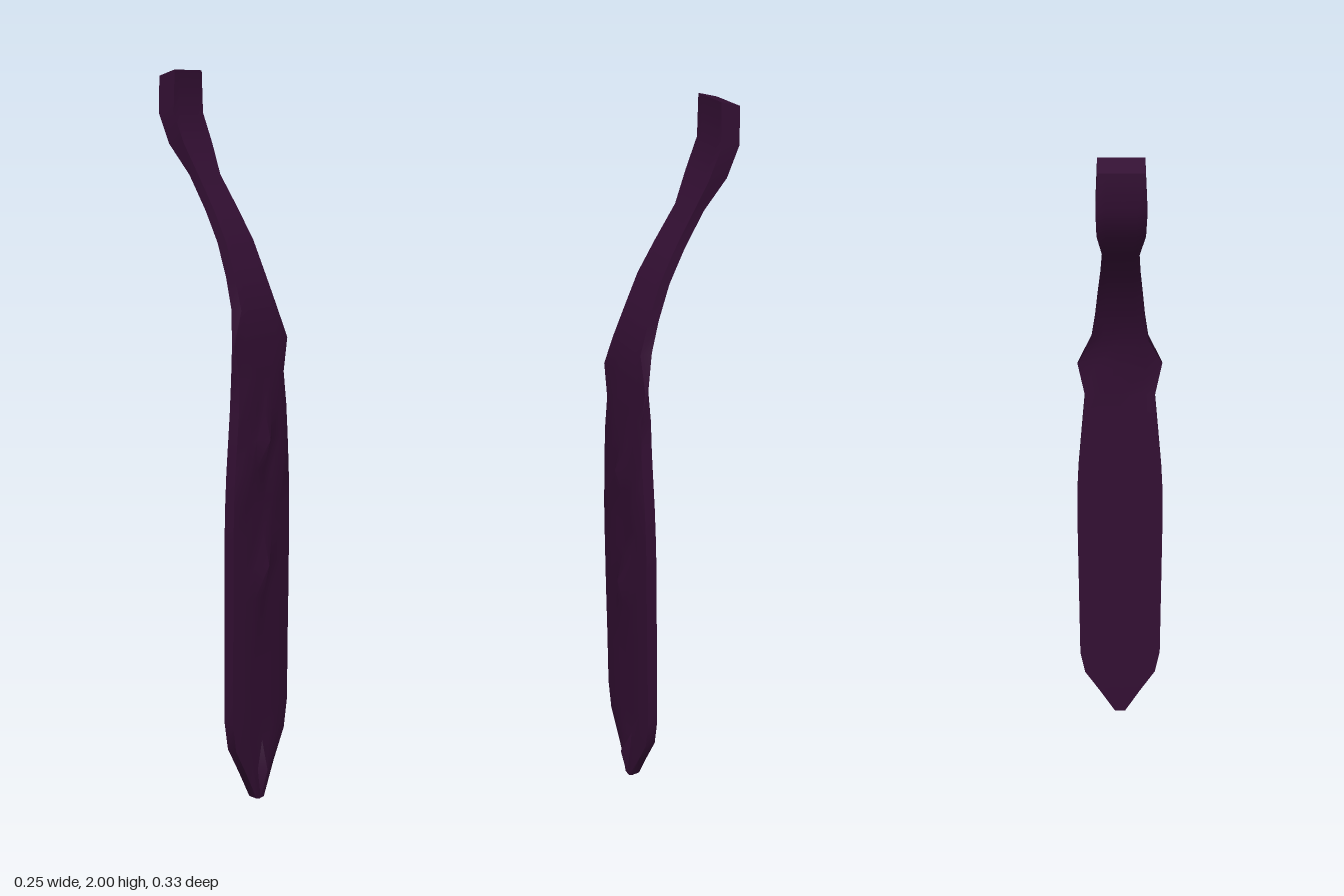
import * as THREE from 'three';
import { toCreasedNormals } from 'three/addons/utils/BufferGeometryUtils.js';

// Rows from tip to neck: height, half width, front z, back z
const rows = [
  [0, 0.016, 0.146, 0.114],
  [0.09, 0.062, 0.146, 0.112],
  [0.175, 0.109, 0.146, 0.111],
  [0.26, 0.123, 0.146, 0.11],
  [0.44, 0.123, 0.146, 0.11],
  [0.6, 0.123, 0.147, 0.11],
  [0.69, 0.123, 0.147, 0.11],
  [0.78, 0.123, 0.147, 0.11],
  [0.87, 0.122, 0.147, 0.111],
  [0.96, 0.117, 0.147, 0.111],
  [1.04, 0.11, 0.148, 0.111],
  [1.12, 0.103, 0.148, 0.111],
  [1.21, 0.095, 0.144, 0.109],
  [1.3, 0.114, 0.135, 0.104],
  [1.39, 0.075, 0.127, 0.094],
  [1.47, 0.065, 0.098, 0.068],
  [1.56, 0.057, 0.062, 0.032],
  [1.64, 0.05, 0.016, -0.014],
  [1.73, 0.045, -0.042, -0.073],
  [1.81, 0.058, -0.08, -0.132],
  [1.89, 0.06, -0.114, -0.166],
  [2, 0.055, -0.114, -0.167],
];

// Small folds standing out from the front, in the middle or at both sides
const middleFolds = [0.09, 0.69, 1.04];
const sideFold = 0.96;

// One closed cross-section, running along the front and back again
function section([y, w, front, back]) {
  const ring = [];
  for (const f of [-1, -0.62, -0.3, 0, 0.3, 0.62, 1]) {
    let z = front;
    if (f === 0 && middleFolds.includes(y)) z += 0.02;
    if (Math.abs(f) === 0.62 && y === sideFold) z += 0.009;
    if (Math.abs(f) === 1 && y < 1.3) z -= 0.006;
    ring.push([f * w, y, z]);
  }
  for (const f of [1, 0.62, 0, -0.62, -1]) {
    // the pointed side tabs are thin and lie forward
    const z = y === 1.3 && Math.abs(f) === 1 ? front - 0.008 : back;
    ring.push([f * w, y === 2 ? 1.985 : y, z]);
  }
  return ring;
}

function loft(rings) {
  const n = rings[0].length;
  const index = [];
  for (let r = 0; r < rings.length - 1; r++) {
    for (let i = 0; i < n; i++) {
      const a = r * n + i, b = r * n + (i + 1) % n;
      index.push(a, b, b + n, a, b + n, a + n);
    }
  }
  // end caps
  const top = (rings.length - 1) * n;
  for (let i = 1; i < n - 1; i++) {
    index.push(0, i + 1, i, top, top + i, top + i + 1);
  }
  const geometry = new THREE.BufferGeometry();
  geometry.setAttribute('position', new THREE.Float32BufferAttribute(rings.flat(2), 3));
  geometry.setIndex(index);
  return toCreasedNormals(geometry, 0.8);
}

export function createModel() {
  const darkPurple = new THREE.MeshStandardMaterial({ color: 0x330f33 });
  darkPurple.name = 'darkPurple';

  const strap = new THREE.Mesh(loft(rows.map(section)), darkPurple);
  strap.name = 'hangingStrap';

  const group = new THREE.Group();
  group.name = 'clothStrap';
  group.add(strap);
  return group;
}
